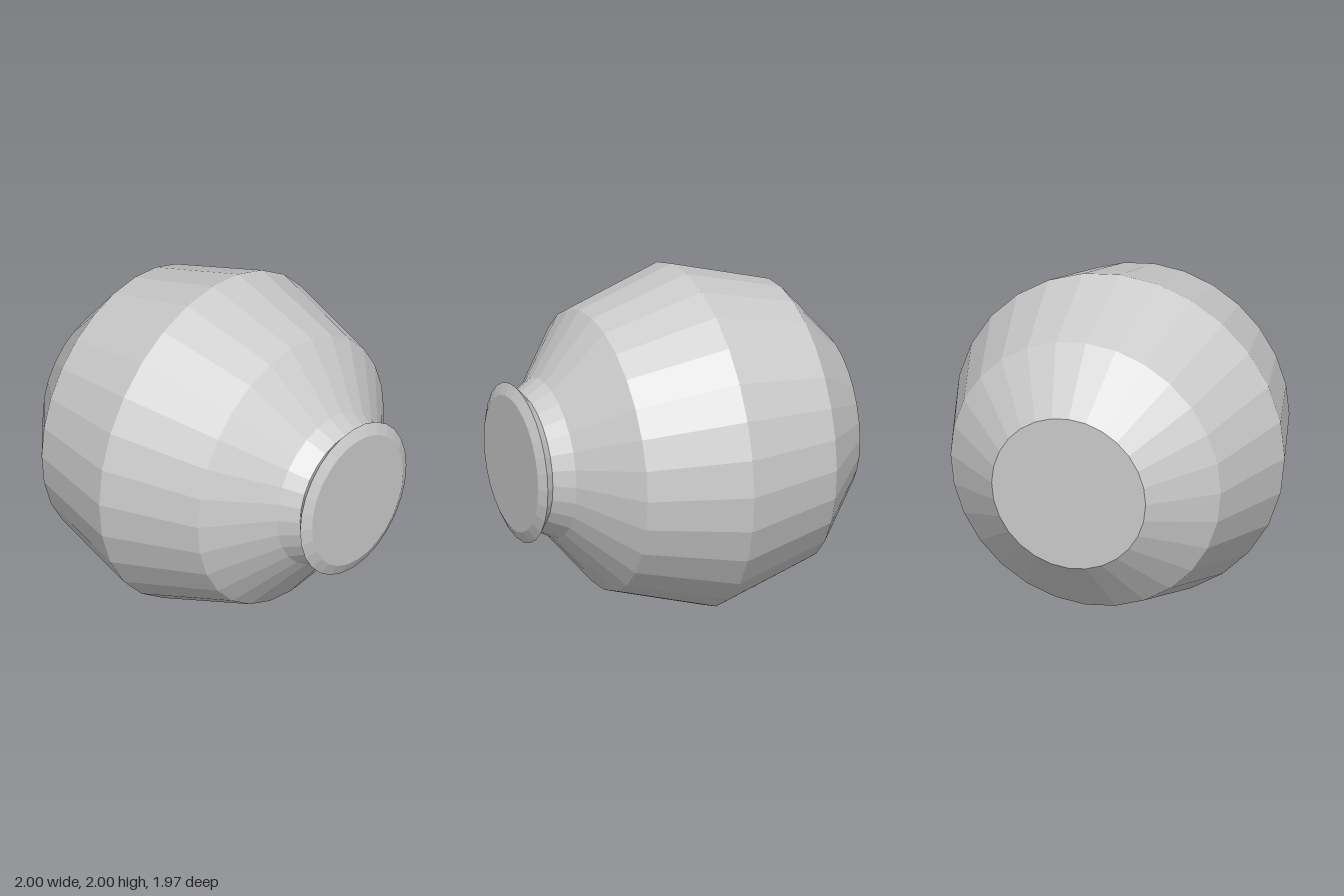
import * as THREE from 'three';

const SIDES = 28;

// Revolves [radius, z] pairs, listed back to front, around the z axis.
function turned(name, profile, material) {
  const points = profile.map(([r, z]) => new THREE.Vector2(r, z));
  const geometry = new THREE.LatheGeometry(points, SIDES).rotateX(Math.PI / 2);
  const mesh = new THREE.Mesh(geometry, material);
  mesh.name = name;
  mesh.position.y = 1;
  return mesh;
}

export function createModel() {
  const model = new THREE.Group();
  model.name = 'jar';
  const clay = new THREE.MeshStandardMaterial({ color: 0xcccccc, flatShading: true });
  clay.name = 'light grey';

  // Faceted belly with a flat base, shoulder and tapering neck
  model.add(turned('body', [
    [0, -0.985], [0.467, -0.985], [0.82, -0.692], [1, -0.105],
    [0.82, 0.482], [0.467, 0.775], [0.4, 0.893],
  ], clay));

  // Flared lip, closed flat at the front
  model.add(turned('rim', [
    [0.4, 0.893], [0.467, 0.952], [0.4, 0.985], [0, 0.985],
  ], clay));

  return model;
}
